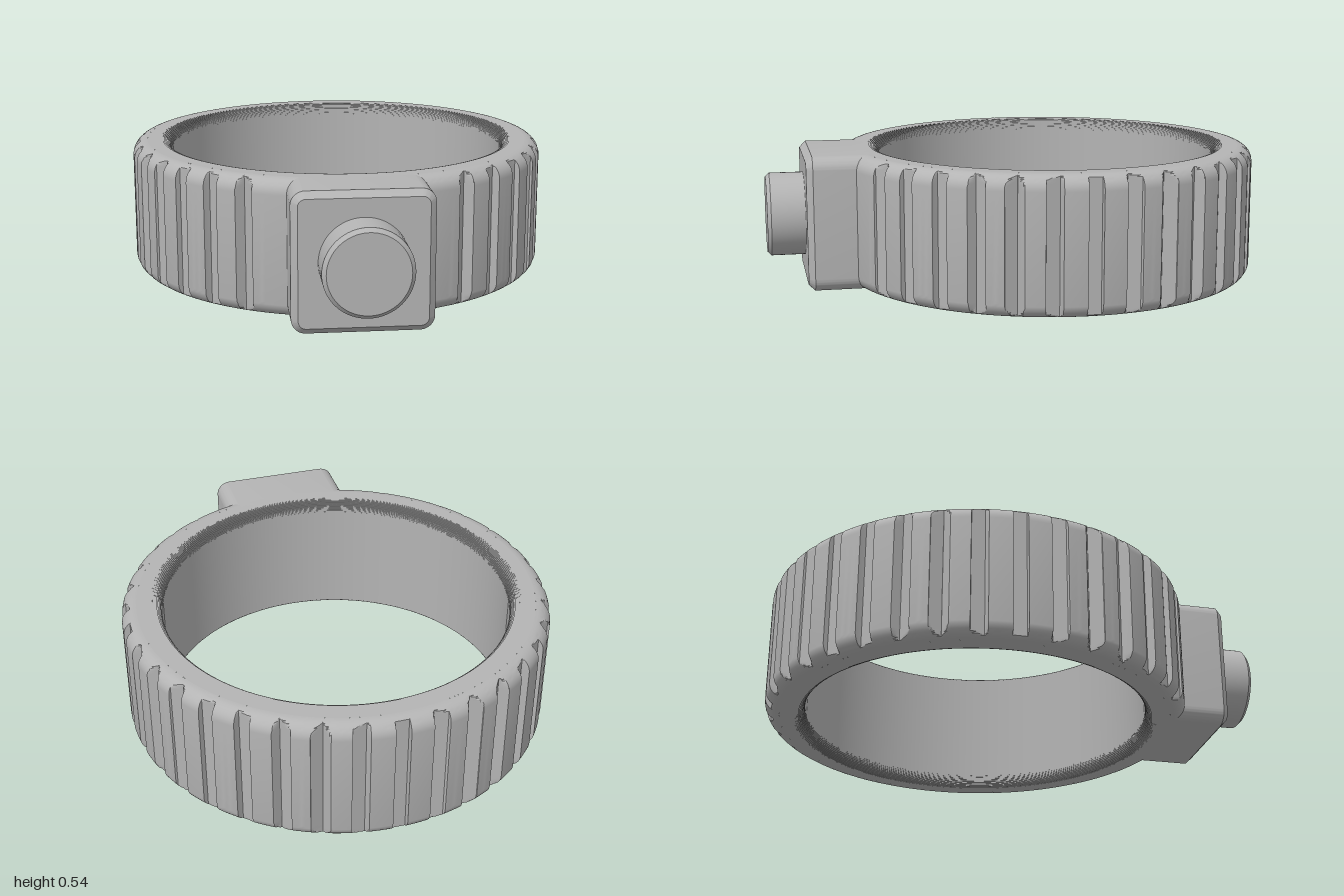
import * as THREE from 'three';
import { toCreasedNormals } from 'three/addons/utils/BufferGeometryUtils.js';

const R = 0.85, INNER = 0.69, H = 0.535, CZ = -0.15; // band radii, height, centre z
const FILLET = 0.06, STEP_FILLET = 0.05;
const HALF = 0.0275;                                 // half side of a square grip notch
const RAD = Math.PI / 180;

// Grip notches every 10 degrees, leaving the block free; each square cutter is turned
// against its position, so the notches change from flat to V-shaped around the band.
const notches = [];
for (let deg = 30; deg <= 330; deg += 10) notches.push({ at: deg * RAD, turn: -2 * deg * RAD });

// Distance from the band axis to the notch along direction phi (R where there is none)
function notchRadius(phi, turn) {
  const c = Math.cos(turn), s = Math.sin(turn), dx = Math.cos(phi), dy = Math.sin(phi);
  const o = [-R * c, R * s], d = [dx * c + dy * s, -dx * s + dy * c];
  let near = -Infinity, far = Infinity;
  for (let k = 0; k < 2; k++) {
    if (Math.abs(d[k]) < 1e-9) {
      if (Math.abs(o[k]) > HALF) return R;
      continue;
    }
    const a = (-HALF - o[k]) / d[k], b = (HALF - o[k]) / d[k];
    near = Math.max(near, Math.min(a, b));
    far = Math.min(far, Math.max(a, b));
  }
  return near <= far ? Math.min(near, R) : R;
}

// Angles at which a notch has a corner or meets the rim
function notchAngles({ at, turn }) {
  const corners = [1, 3, 5, 7].map((k) => {
    const a = turn + k * Math.PI / 4, l = HALF * Math.SQRT2;
    return new THREE.Vector2(R + l * Math.cos(a), l * Math.sin(a));
  });
  const out = [];
  corners.forEach((p, i) => {
    if (p.length() < R) for (const e of [-3e-4, 3e-4]) out.push(at + Math.atan2(p.y, p.x) + e);
    let a = p.clone(), b = corners[(i + 1) % 4].clone();
    if ((a.length() < R) === (b.length() < R)) return;
    if (a.length() > R) [a, b] = [b, a];
    for (let n = 0; n < 24; n++) {
      const m = a.clone().lerp(b, 0.5);
      if (m.length() < R) a = m; else b = m;
    }
    out.push(at + Math.atan2(a.y, a.x));
  });
  return out;
}

// Outer wall: filleted profile swept round the axis and cut back by the notches
function gripGeometry() {
  const angles = notches.flatMap(notchAngles);
  for (let d = 0; d < 360; d++) angles.push(d * RAD + 1e-5);
  angles.sort((a, b) => a - b);

  const profile = [];
  for (let k = 0; k <= 10; k++) {
    const t = k / 10 * Math.PI / 2;
    profile.push([R - FILLET + FILLET * Math.sin(t), FILLET - FILLET * Math.cos(t)]);
  }
  profile.push(...profile.slice().reverse().map(([r, y]) => [r, H - y]));

  const pos = [], index = [], n = profile.length;
  angles.forEach((a, i) => {
    let cut = R;
    for (const q of notches) {
      if (Math.abs(a - q.at) < 0.08) cut = Math.min(cut, notchRadius(a - q.at, q.turn));
    }
    const next = (i + 1) % angles.length;
    profile.forEach(([r, y], j) => {
      const rr = Math.min(r, cut);
      pos.push(rr * Math.sin(a), y, rr * Math.cos(a));
      if (j === n - 1) return;
      const p = i * n + j, q = next * n + j;
      index.push(p, q, q + 1, p, q + 1, p + 1);
    });
  });
  const g = new THREE.BufferGeometry();
  g.setAttribute('position', new THREE.Float32BufferAttribute(pos, 3));
  g.setIndex(index);
  return toCreasedNormals(g, 0.5);
}

// Flat rims and bore, with finely stepped rounding at both bore edges
function boreGeometry() {
  const steps = 12, top = [[R - FILLET, H], [INNER + STEP_FILLET, H]];
  let y = H;
  for (let k = 1; k <= steps; k++) {
    const t = k / steps * Math.PI / 2;
    const r = INNER + STEP_FILLET * (1 - Math.sin(t));
    top.push([r, y]);
    y = H - STEP_FILLET * (1 - Math.cos(t));
    top.push([r, y]);
  }
  const all = [...top, ...top.slice().reverse().map(([r, h]) => [r, H - h])];
  const g = new THREE.LatheGeometry(all.map(([r, h]) => new THREE.Vector2(r, h)), 180);
  return toCreasedNormals(g, 0.5);
}

// Mounting block: rounded rectangle with a chamfered front edge
function blockGeometry() {
  const bevel = 0.025, w = 0.265 - bevel, h = H / 2 - bevel, r = 0.03;
  const s = new THREE.Shape();
  s.moveTo(-w + r, -h);
  s.lineTo(w - r, -h);
  s.absarc(w - r, -h + r, r, -Math.PI / 2, 0);
  s.absarc(w - r, h - r, r, 0, Math.PI / 2);
  s.absarc(-w + r, h - r, r, Math.PI / 2, Math.PI);
  s.absarc(-w + r, -h + r, r, Math.PI, Math.PI * 1.5);
  const back = 0.57, front = 0.85;
  const g = new THREE.ExtrudeGeometry(s, {
    depth: front - back - 2 * bevel, bevelEnabled: true, bevelSize: bevel,
    bevelThickness: bevel, bevelSegments: 1, curveSegments: 8,
  });
  g.translate(0, H / 2, back + bevel);
  return toCreasedNormals(g, 0.5);
}

// Round button with a small chamfer, lying along z
function buttonGeometry() {
  const pts = [[0.167, 0], [0.167, 0.135], [0.152, 0.15], [0, 0.15]];
  const g = new THREE.LatheGeometry(pts.map(([r, l]) => new THREE.Vector2(r, l)), 64);
  g.rotateX(Math.PI / 2);
  g.translate(0, 0.272, 0.85);
  return toCreasedNormals(g, 0.5);
}

export function createModel() {
  const grey = new THREE.MeshStandardMaterial({ color: 0xb4b4b4 });
  grey.name = 'grey';
  const model = new THREE.Group();
  model.name = 'clampRing';
  const add = (name, geometry, parent) => {
    const mesh = new THREE.Mesh(geometry, grey);
    mesh.name = name;
    parent.add(mesh);
  };

  const band = new THREE.Group();
  band.name = 'band';
  band.position.z = CZ;
  add('notchedOuterWall', gripGeometry(), band);
  add('boreAndRims', boreGeometry(), band);
  model.add(band);

  add('mountingBlock', blockGeometry(), model);
  add('button', buttonGeometry(), model);
  return model;
}
